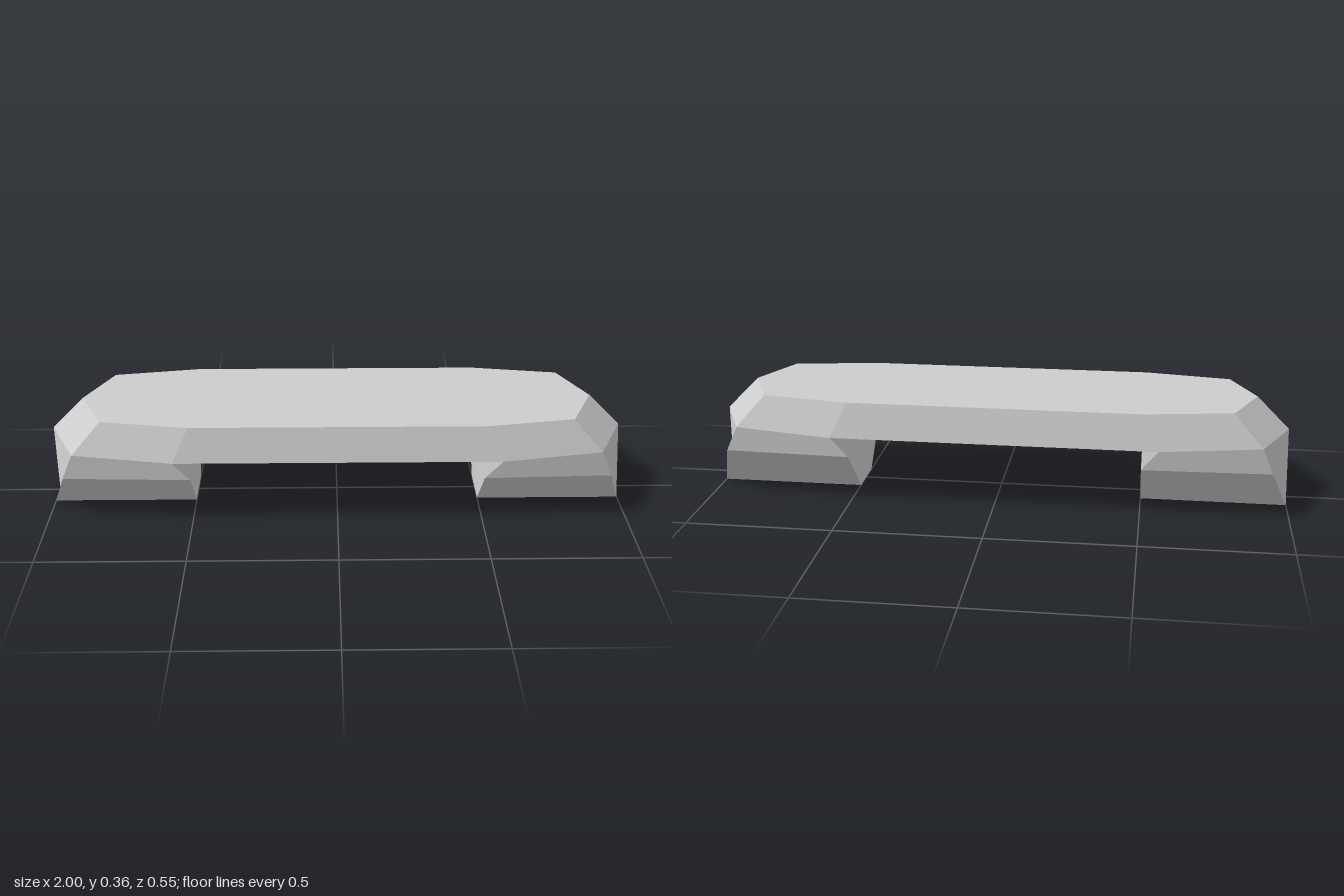
import * as THREE from 'three';

// Corners of one quarter (+x, +z); the rest is mirrored
const H = 0.363;
const P = {
  topC: [0, H, 0], topM: [0, H, 0.25], topS: [0.5, H, 0.25], topE: [0.8, H, 0.2], topN: [0.887, H, 0],
  midM: [0, 0.243, 0.276], midS: [0.556, 0.243, 0.276], midE: [0.9, 0.25, 0.225], midN: [1, 0.25, 0],
  lowS: [0.5, 0.167, 0.25], lowE: [0.935, 0.167, 0.235],
  botS: [0.5, 0, 0.083], botE: [1, 0, 0.083], botSC: [0.5, 0, 0], botEC: [1, 0, 0],
  underC: [0, 0.248, 0], underS: [0.5, 0.248, 0],
};

// Polygons, counter-clockwise seen from outside
const BAR = {
  topPlate: ['topC topM topS topE topN'],
  bevelRim: ['midM midS topS topM', 'midS midE topE topS', 'midE midN topN topE'],
  underside: ['underC underS midS midM'],
};
const FOOT = [
  'lowS lowE midE midS', // upper flank
  'botS botE lowE lowS', // tapered lower flank
  'midN midE lowE botE botEC', // outer end
  'underS botSC botS lowS midS', // inner end
  'botSC botEC botE botS', // sole
];

// Fans each polygon and gives it one averaged normal, mirrored into the listed quadrants
function mirroredFaces(polygons, quadrants) {
  const pos = [], nor = [];
  for (const [sx, sz] of quadrants) {
    for (const names of polygons) {
      const pts = names.split(' ').map((k) => new THREE.Vector3(P[k][0] * sx, P[k][1], P[k][2] * sz));
      if (sx * sz < 0) pts.reverse();
      const n = new THREE.Vector3();
      pts.forEach((p, i) => n.add(p.clone().cross(pts[(i + 1) % pts.length])));
      n.normalize();
      for (let i = 1; i < pts.length - 1; i++) {
        for (const p of [pts[0], pts[i], pts[i + 1]]) {
          pos.push(p.x, p.y, p.z);
          nor.push(n.x, n.y, n.z);
        }
      }
    }
  }
  const g = new THREE.BufferGeometry();
  g.setAttribute('position', new THREE.Float32BufferAttribute(pos, 3));
  g.setAttribute('normal', new THREE.Float32BufferAttribute(nor, 3));
  return g;
}

export function createModel() {
  const group = new THREE.Group();
  group.name = 'handle';
  const grey = new THREE.MeshStandardMaterial({ color: 0xcccccc });
  grey.name = 'lightGrey';

  const add = (name, polygons, quadrants) => {
    const mesh = new THREE.Mesh(mirroredFaces(polygons, quadrants), grey);
    mesh.name = name;
    group.add(mesh);
  };

  // Bevelled grip bar
  const all = [[1, 1], [1, -1], [-1, 1], [-1, -1]];
  for (const [name, polygons] of Object.entries(BAR)) add(name, polygons, all);

  // Tapered mounting feet at both ends
  add('leftFoot', FOOT, all.filter(([sx]) => sx > 0));
  add('rightFoot', FOOT, all.filter(([sx]) => sx < 0));

  return group;
}
